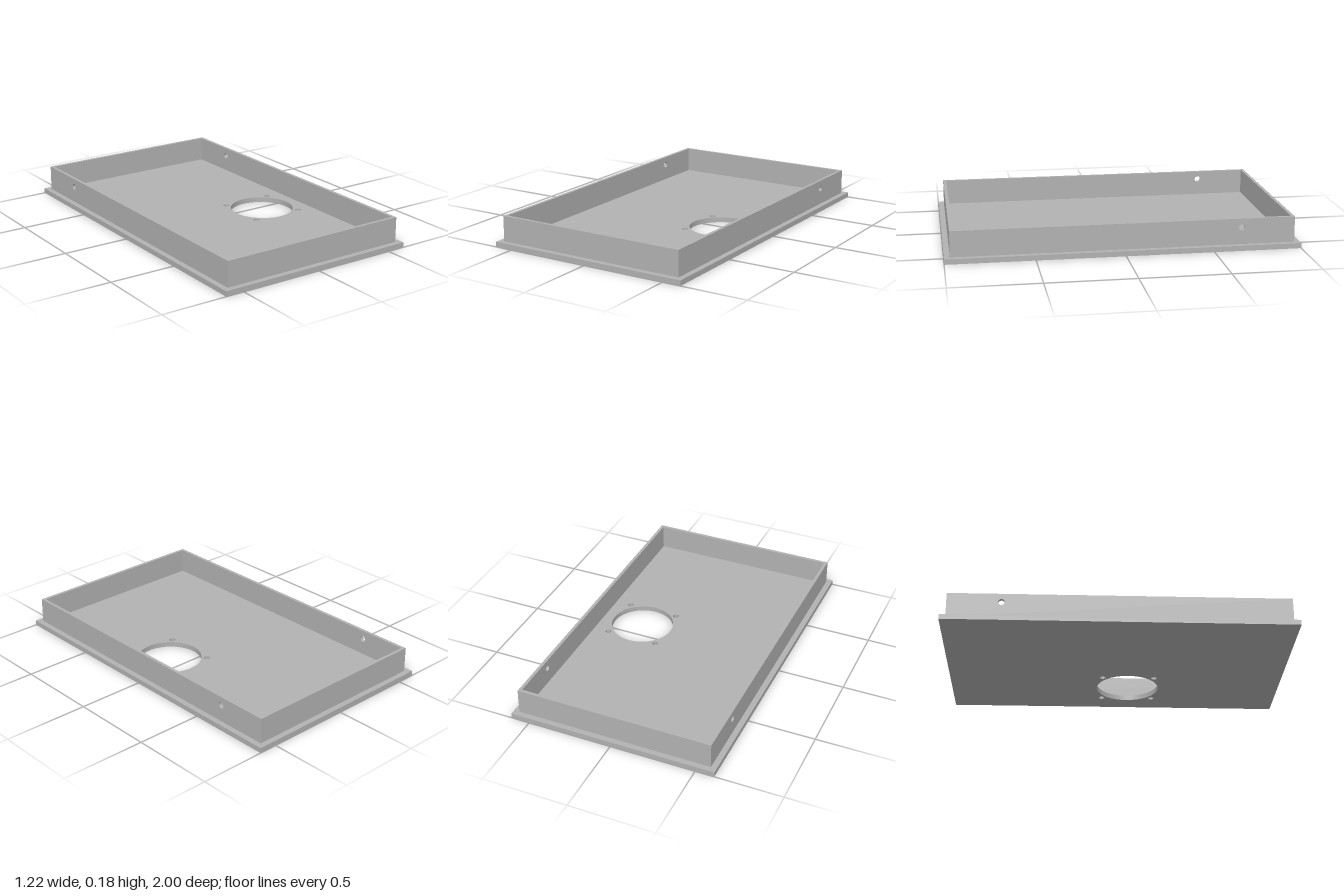
import * as THREE from 'three';
import { toCreasedNormals } from 'three/addons/utils/BufferGeometryUtils.js';

const PLATE = { x: 0.61, z: 1, t: 0.03 };
const RIM = { x: 0.577, z: 0.967, t: 0.019, top: 0.178 };

// Rectangle with round holes [x, y, radius], extruded to a thickness
function drilledPanel(x0, y0, x1, y1, holes, depth) {
  const shape = new THREE.Shape([
    new THREE.Vector2(x0, y0), new THREE.Vector2(x1, y0),
    new THREE.Vector2(x1, y1), new THREE.Vector2(x0, y1),
  ]);
  for (const [x, y, r] of holes) {
    shape.holes.push(new THREE.Path().absarc(x, y, r, 0, Math.PI * 2, true));
  }
  const geometry = new THREE.ExtrudeGeometry(shape, { depth, bevelEnabled: false, curveSegments: 48 });
  return toCreasedNormals(geometry, 0.5);
}

export function createModel() {
  const group = new THREE.Group();
  const grey = new THREE.MeshStandardMaterial({ color: 0xb2b2b2 });
  grey.name = 'grey';

  function add(name, geometry) {
    const mesh = new THREE.Mesh(geometry, grey);
    mesh.name = name;
    group.add(mesh);
    return mesh;
  }

  // Base plate: large round opening with four screw holes around it
  const cx = 0.307, cz = 0.075, offset = 0.155;
  const holes = [[cx, cz, 0.187]];
  for (const sx of [-1, 1]) {
    for (const sz of [-1, 1]) holes.push([cx + sx * offset, cz + sz * offset, 0.018]);
  }
  const plate = drilledPanel(-PLATE.x, -PLATE.z, PLATE.x, PLATE.z, holes, PLATE.t);
  plate.rotateX(Math.PI / 2).translate(0, PLATE.t, 0);
  add('basePlate', plate);

  // Long side walls, each with one small hole near the back
  for (const [name, outerX] of [['leftWall', RIM.x], ['rightWall', -RIM.x + RIM.t]]) {
    const wall = drilledPanel(-RIM.z, PLATE.t, RIM.z, RIM.top, [[-0.662, 0.127, 0.018]], RIM.t);
    wall.rotateY(-Math.PI / 2).translate(outerX, 0, 0);
    add(name, wall);
  }

  // Short end walls fitted between the side walls
  const height = RIM.top - PLATE.t;
  for (const [name, side] of [['frontWall', 1], ['backWall', -1]]) {
    const wall = add(name, new THREE.BoxGeometry(2 * (RIM.x - RIM.t), height, RIM.t));
    wall.position.set(0, PLATE.t + height / 2, side * (RIM.z - RIM.t / 2));
  }

  return group;
}
